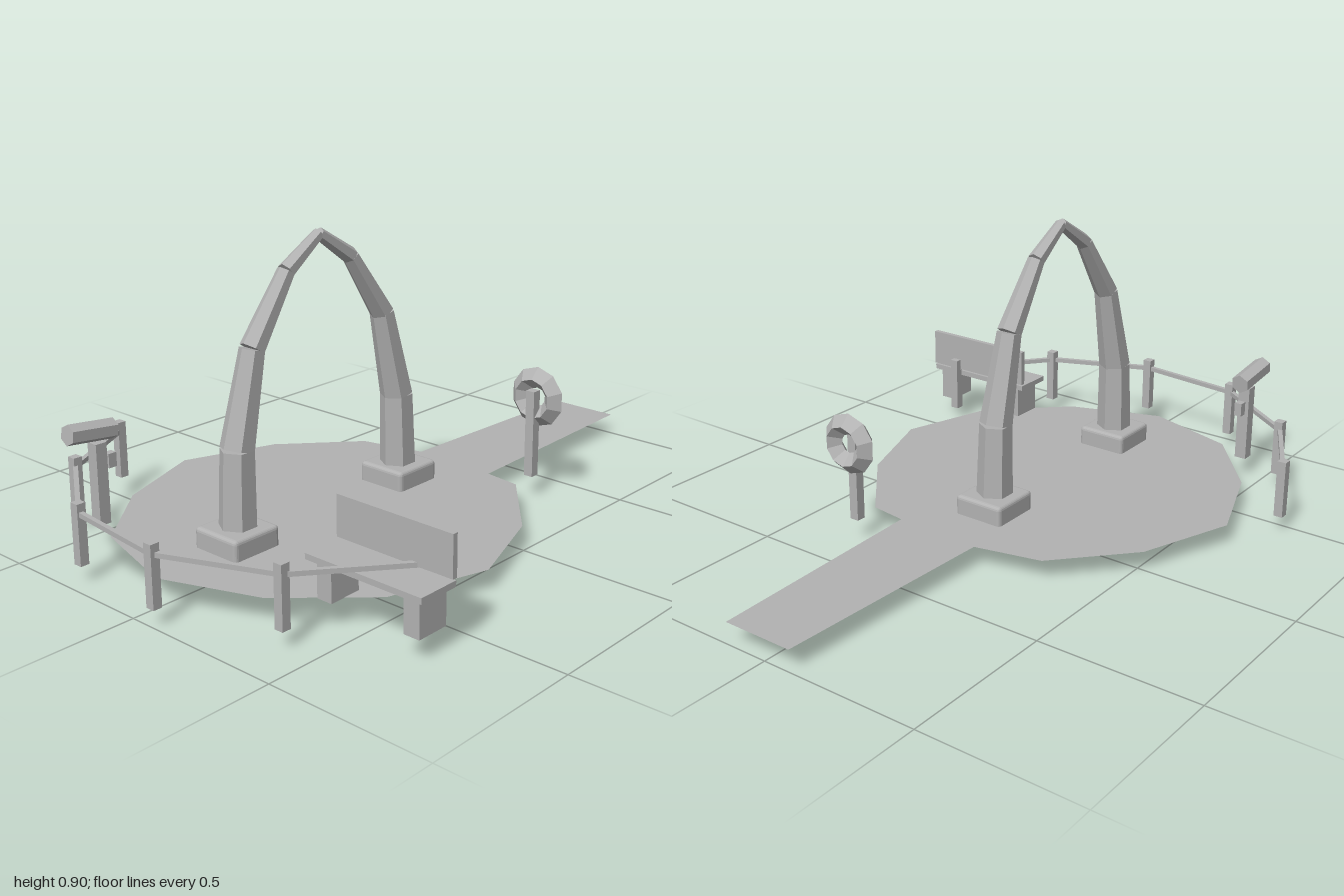
import * as THREE from 'three';
import { RoundedBoxGeometry } from 'three/addons/geometries/RoundedBoxGeometry.js';

export function createModel() {
  const root = new THREE.Group();
  const stone = new THREE.MeshStandardMaterial({ color: 0xb2b2b2, flatShading: true, side: THREE.DoubleSide });
  stone.name = 'grey stone';

  const add = (name, geometry, x = 0, y = 0, z = 0) => {
    const mesh = new THREE.Mesh(geometry, stone);
    mesh.name = name;
    mesh.position.set(x, y, z);
    root.add(mesh);
    return mesh;
  };
  // Box given by its extents on each axis
  const box = (name, x0, x1, y0, y1, z0, z1) =>
    add(name, new THREE.BoxGeometry(x1 - x0, y1 - y0, z1 - z0), (x0 + x1) / 2, (y0 + y1) / 2, (z0 + z1) / 2);

  // Flat plaza with a path running out to +x
  const outline = [
    [-0.28, -0.635], [0.013, -0.527], [0.233, -0.325], [0.28, -0.12], [1, -0.09],
    [1, 0.137], [0.27, 0.163], [0.255, 0.28], [0.013, 0.484], [-0.28, 0.59],
    [-0.58, 0.495], [-0.79, 0.265], [-0.897, -0.03], [-0.81, -0.33], [-0.575, -0.527],
  ];
  const plaza = add('plaza', new THREE.ShapeGeometry(
    new THREE.Shape(outline.map(([x, z]) => new THREE.Vector2(x, -z)))), 0, 0.065, 0);
  plaza.rotation.x = -Math.PI / 2;

  // Tapered arch: four six-sided segments per side, mirrored about its middle
  const archX = -0.28, archZ = -0.022;
  const spine = [ // offset from the middle, height, radius
    [0.335, 0, 0.058], [0.325, 0.345, 0.05], [0.26, 0.613, 0.037], [0.127, 0.803, 0.026], [0, 0.887, 0.018],
  ];
  const up = new THREE.Vector3(0, 1, 0);
  for (const side of [-1, 1]) {
    for (let i = 0; i < spine.length - 1; i++) {
      const [xa, ya, ra] = spine[i], [xb, yb, rb] = spine[i + 1];
      const a = new THREE.Vector3(archX + side * xa, ya, archZ);
      const b = new THREE.Vector3(archX + side * xb, yb, archZ);
      const geometry = new THREE.CylinderGeometry(rb, ra, a.distanceTo(b), 6).rotateY(Math.PI / 6 * 3);
      const segment = add('archSegment', geometry);
      segment.position.copy(a).lerp(b, 0.5);
      segment.quaternion.setFromUnitVectors(up, b.sub(a).normalize());
    }
    add('archFooting', new RoundedBoxGeometry(0.165, 0.072, 0.165, 2, 0.012), archX + side * 0.335, 0.089, archZ);
  }

  // Curved fence: posts joined by a single rail
  const posts = [[-0.468, -0.714], [-0.746, -0.564], [-0.95, -0.276], [-0.987, 0.072], [-0.853, 0.398], [-0.575, 0.623]];
  posts.forEach(([x, z], i) => {
    add('fencePost', new THREE.BoxGeometry(0.028, 0.18, 0.028), x, 0.138, z);
    if (i === 0) return;
    const [px, pz] = posts[i - 1];
    const rail = add('fenceRail', new THREE.BoxGeometry(0.014, 0.014, Math.hypot(x - px, z - pz)),
      (x + px) / 2, 0.197, (z + pz) / 2);
    rail.rotation.y = Math.atan2(x - px, z - pz);
  });

  // Bench
  box('benchSeat', -0.715, -0.585, 0.17, 0.187, 0.34, 0.725);
  box('benchBack', -0.598, -0.582, 0.193, 0.312, 0.34, 0.725);
  for (const z of [0.39, 0.68]) box('benchLeg', -0.698, -0.597, 0.063, 0.17, z - 0.025, z + 0.025);

  // Ring on a post beside the path
  box('ringPost', 0.33, 0.36, 0.068, 0.343, 0.255, 0.285);
  const ring = add('ring', new THREE.TorusGeometry(0.062, 0.033, 4, 10).rotateZ(Math.PI / 10), 0.368, 0.317, 0.27);
  ring.rotation.y = Math.PI / 2;

  // Viewing scope on a stand
  box('scopeStand', -0.782, -0.745, 0.065, 0.31, -0.449, -0.411);
  box('scopeBox', -0.735, -0.708, 0.225, 0.268, -0.442, -0.418);
  const scope = add('scopeTube', new THREE.CylinderGeometry(0.031, 0.031, 0.155, 6).rotateY(Math.PI / 2), -0.782, 0.345, -0.433);
  scope.rotation.z = Math.PI / 2 - 0.12;

  return root;
}
